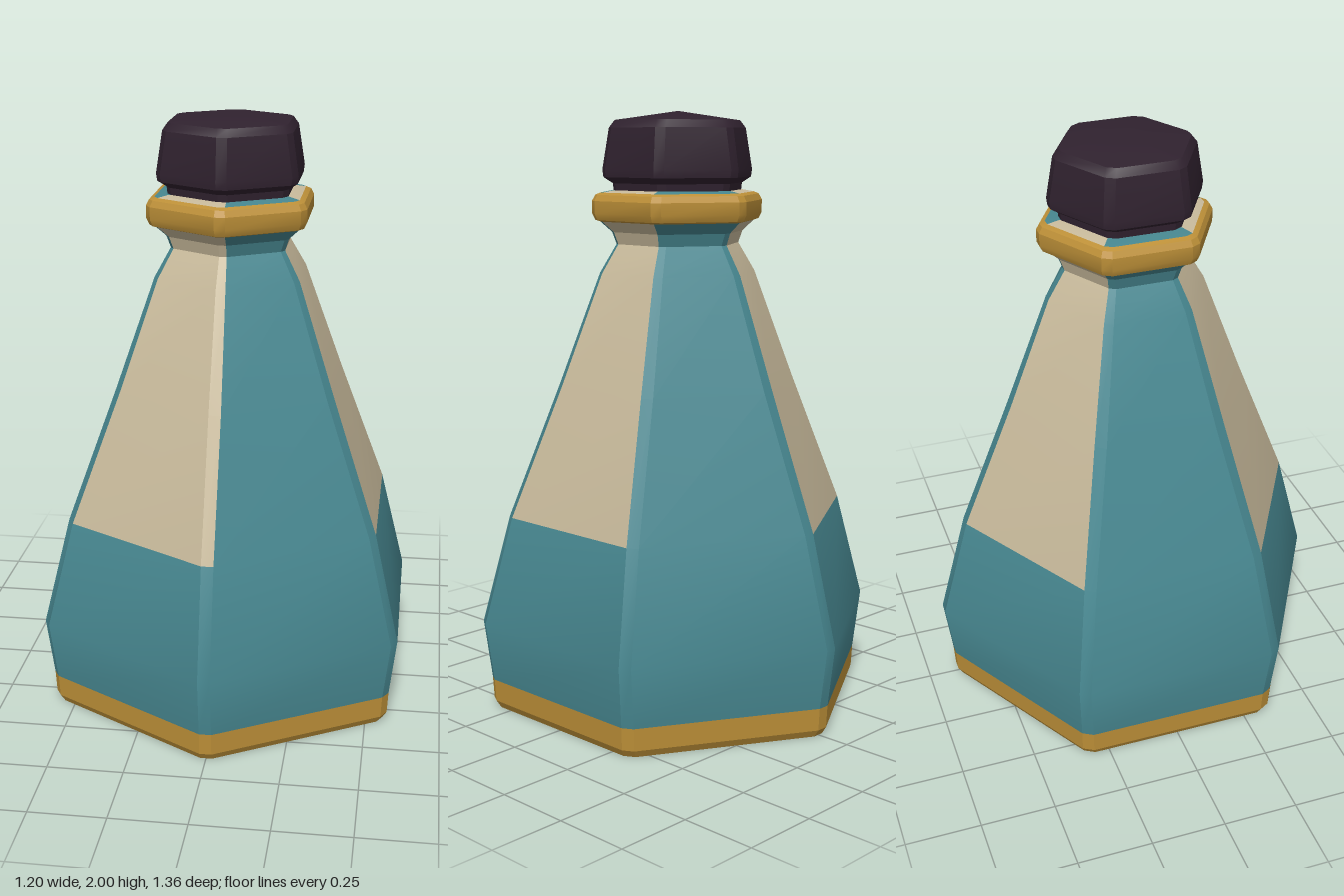
import * as THREE from 'three';
import { toCreasedNormals } from 'three/addons/utils/BufferGeometryUtils.js';

const CREASE = 0.45;

// Hexagon with cut corners: 12 points, flat sides facing +x and every 60 degrees.
function hexRing([apothem, y, cut = 0.023]) {
  const points = [];
  const half = Math.max(apothem * Math.tan(Math.PI / 6) - cut, 0);
  for (let f = 0; f < 6; f++) {
    const t = (f * Math.PI) / 3;
    for (const s of [-half, half]) {
      points.push(new THREE.Vector3(
        apothem * Math.cos(t) - s * Math.sin(t), y,
        apothem * Math.sin(t) + s * Math.cos(t)));
    }
  }
  return points;
}

// Lofts hexagonal rings [apothem, y, cut]; slot(segment, row) picks the material index.
function hexLoft(profile, slots = 1, slot = () => 0) {
  const rings = profile.map(hexRing);
  const buckets = Array.from({ length: slots }, () => []);
  for (let r = 0; r < rings.length - 1; r++) {
    for (let i = 0; i < 12; i++) {
      const j = (i + 1) % 12;
      const [a, b, c, d] = [rings[r][i], rings[r + 1][i], rings[r + 1][j], rings[r][j]];
      const out = buckets[slot(i, r)];
      for (const tri of [[a, b, d], [b, c, d]]) {
        if (new THREE.Triangle(...tri).getArea() > 1e-9) out.push(...tri);
      }
    }
  }
  const geometry = new THREE.BufferGeometry().setFromPoints(buckets.flat());
  geometry.computeVertexNormals();
  let start = 0;
  if (slots > 1) {
    buckets.forEach((b, i) => {
      geometry.addGroup(start, b.length, i);
      start += b.length;
    });
  }
  return toCreasedNormals(geometry, CREASE);
}

export function createModel() {
  const material = (name, color) => {
    const m = new THREE.MeshStandardMaterial({ color });
    m.name = name;
    return m;
  };
  const teal = material('teal', 0x478790);
  const cream = material('cream', 0xc9bb9c);
  const gold = material('gold', 0xbd9038);
  const plum = material('dark plum', 0x30222f);

  const model = new THREE.Group();
  model.name = 'bottle';
  const add = (name, geometry, mat) => {
    const mesh = new THREE.Mesh(geometry, mat);
    mesh.name = name;
    model.add(mesh);
  };

  // Gold foot with a closed underside
  add('baseBand', hexLoft([[0, 0], [0.558, 0], [0.572, 0.025], [0.576, 0.1]]), gold);

  // Body: three cream panels, plus the front corner strip, above the third row
  const creamSegments = [0, 3, 4, 8];
  add('body', hexLoft([
    [0.576, 0.1], [0.599, 0.3], [0.515, 0.66], [0.362, 1.1], [0.238, 1.47, 0.018],
    [0.187, 1.565, 0.014], [0.2, 1.605, 0.014], [0.235, 1.64, 0.016],
  ], 2, (i, r) => (r >= 2 && creamSegments.includes(i) ? 1 : 0)), [teal, cream]);

  // Gold collar around the mouth
  add('collar', hexLoft([
    [0.235, 1.64, 0.016], [0.25, 1.645, 0.018], [0.26, 1.667, 0.02],
    [0.26, 1.708, 0.02], [0.25, 1.728, 0.018], [0.234, 1.735, 0.016],
  ]), gold);

  // Lip inside the collar, continuing the panel colours
  add('lip', hexLoft([[0.234, 1.735, 0.016], [0.2, 1.742, 0.014], [0.17, 1.742, 0.014]],
    2, (i) => (creamSegments.includes(i) ? 1 : 0)), [teal, cream]);

  // Stopper with a shallow pointed top
  add('stopper', hexLoft([
    [0.195, 1.735, 0.018], [0.198, 1.765, 0.018], [0.226, 1.785, 0.02], [0.229, 1.81, 0.02],
    [0.209, 1.945, 0.02], [0.192, 1.97, 0.02], [0, 2],
  ]), plum);

  return model;
}
